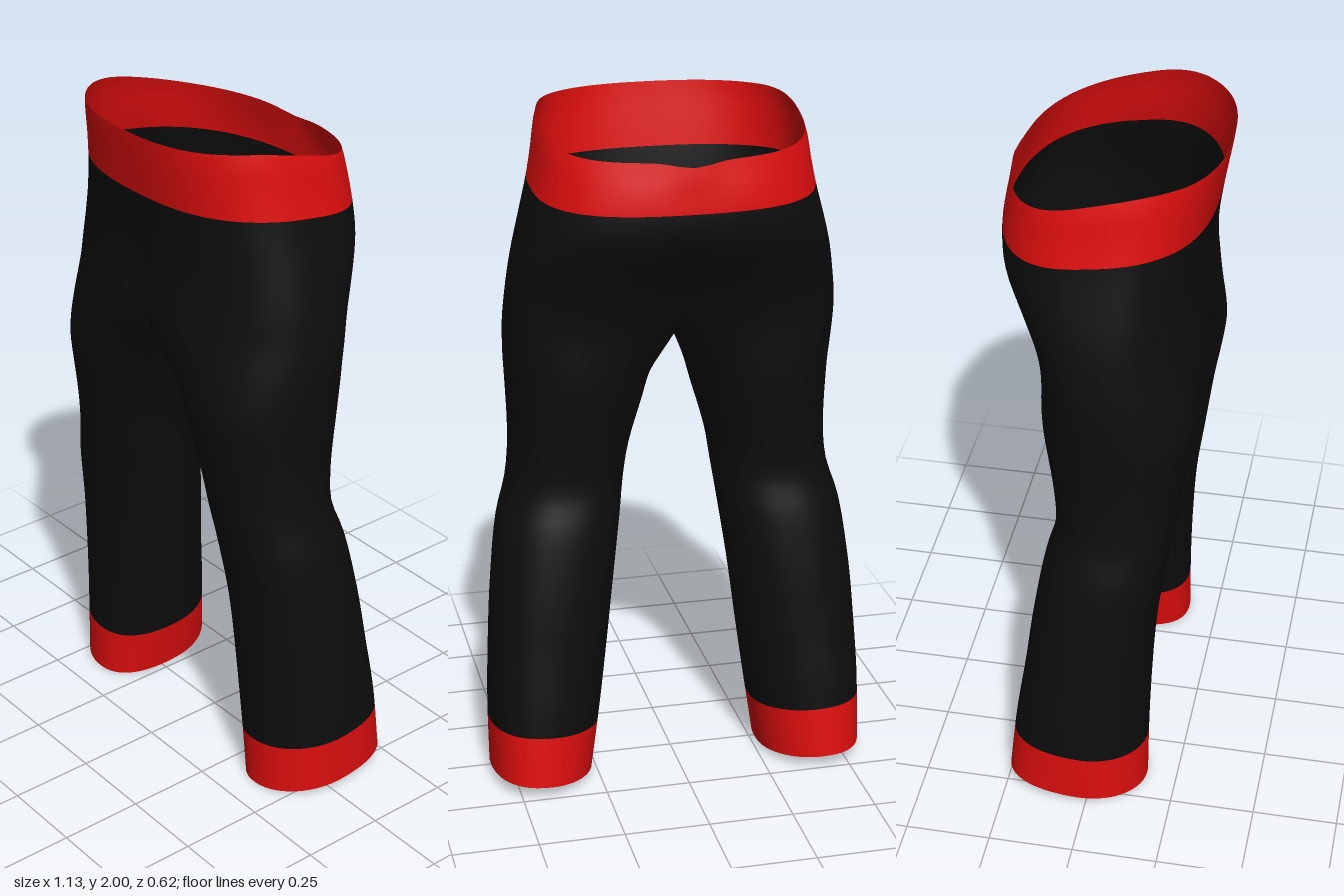
import * as THREE from 'three';
import { mergeVertices } from 'three/addons/utils/BufferGeometryUtils.js';

const { lerp, clamp, smoothstep } = THREE.MathUtils;

// Smooth lookup through rows of [height, ...values], lowest first
function profile(rows) {
  const f = new THREE.CubicInterpolant(rows.map(r => r[0]), rows.flatMap(r => r.slice(1)), rows[0].length - 1);
  return h => f.evaluate(clamp(h, rows[0][0], rows[rows.length - 1][0]));
}

// Hips: height, half width, front z, back z
const hips = profile([
  [1.1, 0.475, 0.25, -0.16], [1.2, 0.475, 0.265, -0.165], [1.4, 0.482, 0.278, -0.185],
  [1.5, 0.472, 0.27, -0.215], [1.6, 0.455, 0.262, -0.262], [1.7, 0.432, 0.265, -0.298],
  [1.815, 0.405, 0.28, -0.305], [1.9, 0.39, 0.294, -0.296], [1.97, 0.38, 0.306, -0.283], [2.0, 0.372, 0.31, -0.278],
]);
// Leg: height, inner x, outer x, front z, back z
const leg = profile([
  [0, 0.262, 0.566, 0.16, -0.25], [0.2, 0.232, 0.566, 0.16, -0.23], [0.4, 0.205, 0.557, 0.165, -0.203],
  [0.6, 0.18, 0.542, 0.177, -0.18], [0.8, 0.152, 0.514, 0.204, -0.148], [0.9, 0.138, 0.484, 0.218, -0.122],
  [1.0, 0.122, 0.472, 0.232, -0.128], [1.2, 0.066, 0.475, 0.265, -0.16], [1.3, 0.045, 0.481, 0.275, -0.172],
  [1.4, 0.03, 0.482, 0.28, -0.185], [1.5, 0.02, 0.472, 0.27, -0.215],
]);

const TOP = 2, BAND = 1.815, FORK = 1.48, THIGH = 1.2, CUFF = 0.155;
const OUTER = 44, INNER = 18, SPREAD = 0.87;

const power = (v, p) => Math.sign(v) * Math.abs(v) ** p;

// Half of the hip outline; u runs from centre front round the side to centre back
function hipPoint(h, u) {
  const [rx, zf, zb] = hips(h), a = u * Math.PI, c = Math.cos(a);
  const x = rx * Math.abs(Math.sin(a)) ** 0.82;
  let z = c > 0 ? zf * c ** 0.82 : zb * (-c) ** 0.74;
  const centre = Math.exp(-((x / 0.07) ** 2));
  const low = 1 - smoothstep(h, 1.45, 1.75);
  z += (c > 0 ? -0.025 * low : 0.03 * low) * centre;
  const rim = clamp((h - 1.6) / 0.4, 0, 1);
  if (c < 0) z -= 0.014 * centre * smoothstep(h, 1.85, 2);
  const y = h - rim * 0.095 * smoothstep(-z, -0.2, 0.3) - (c < 0 ? 0.015 * centre * smoothstep(h, 1.85, 2) : 0);
  return [x, y, z];
}

// Leg outline at an angle: 0 front, PI/2 outer side, PI back
function legPoint(h, a) {
  const [xi, xo, zf, zb] = leg(h);
  const dz = power(Math.cos(a), 0.92) * (zf - zb) / 2;
  const low = 1 - smoothstep(h, 0.2, 0.9);
  const x = (xi + xo) / 2 + power(Math.sin(a), 0.92) * (xo - xi) / 2 - 0.1 * low * dz * Math.abs(Math.cos(a));
  const z = (zf + zb) / 2 + dz;
  return [x, h + low * (0.06 * (x - 0.25) + 0.08 * (0.16 - z) - 0.008), z];
}

// Sections of rows from waist to hem
const rows = [];
function section(from, to, count, part) {
  for (let i = 0; i < count; i++) rows.push({ h: lerp(from, to, i / count), part });
}
section(TOP, BAND, 6, 'waistband');
section(BAND, FORK, 12, 'trousers');
section(FORK, THIGH, 12, 'trousers');
section(THIGH, CUFF, 28, 'trousers');
section(CUFF, 0, 4, 'Cuff');
rows.push({ h: 0 });
const forkRow = 18;

function blend(start, h, t, angle, w) {
  const y = lerp(start[1], THIGH, t);
  const l = legPoint(y, angle);
  return [lerp(start[0], l[0], w), y, lerp(start[2], l[2], w)];
}

// Outer wall of hip and leg
function outerPoint(h, u) {
  const angle = -SPREAD + u * (Math.PI + 2 * SPREAD);
  if (h >= FORK) return hipPoint(h, u);
  if (h <= THIGH) return legPoint(h, angle);
  const t = (FORK - h) / (FORK - THIGH), p = hipPoint(h, u);
  return blend([p[0], FORK, p[2]], h, t, angle, smoothstep(t, 0, 1));
}

// Inner leg wall, hanging from the curved crotch seam, back to front
function innerPoint(h, v) {
  const angle = Math.PI + SPREAD + v * (Math.PI - 2 * SPREAD);
  if (h <= THIGH) return legPoint(h, angle);
  const t = (FORK - h) / (FORK - THIGH);
  const arch = Math.sin(v * Math.PI);
  const front = hipPoint(Math.min(h, FORK), 0)[2], back = hipPoint(Math.min(h, FORK), 1)[2];
  const seam = [0, FORK - 0.08 * Math.max(arch, 0) ** 0.7, lerp(back, front, (1 - Math.cos(v * Math.PI)) / 2)];
  return blend(seam, h, t, angle, lerp(smoothstep(t, 0, 1), Math.sin(t * Math.PI / 2), arch));
}

export function createModel() {
  const red = new THREE.MeshStandardMaterial({ color: 0xdd0e0e, side: THREE.DoubleSide });
  red.name = 'red trim';
  const black = new THREE.MeshStandardMaterial({ color: 0x0d0d0d, side: THREE.DoubleSide });
  black.name = 'black cloth';

  const positions = [];
  const parts = { waistband: [], trousers: [], leftCuff: [], rightCuff: [] };

  // Grid of points, its quads sorted into the named parts
  function addGrid(side, firstRow, columns, point) {
    const base = positions.length / 3, stride = columns + 1;
    for (let r = firstRow; r < rows.length; r++) {
      for (let c = 0; c <= columns; c++) {
        const [x, y, z] = point(rows[r].h, c / columns);
        positions.push(side * x, y, z);
      }
    }
    for (let r = firstRow; r < rows.length - 1; r++) {
      const name = rows[r].part === 'Cuff' ? (side > 0 ? 'leftCuff' : 'rightCuff') : rows[r].part;
      for (let c = 0; c < columns; c++) {
        const a = base + (r - firstRow) * stride + c, b = a + 1, d = a + stride, e = d + 1;
        parts[name].push(...(side > 0 ? [a, d, b, b, d, e] : [a, b, d, b, e, d]));
      }
    }
  }
  for (const side of [1, -1]) {
    addGrid(side, 0, OUTER, outerPoint);
    addGrid(side, forkRow, INNER, innerPoint);
  }

  // Weld the whole garment so normals run smoothly across every seam
  let cloth = new THREE.BufferGeometry();
  cloth.setAttribute('position', new THREE.Float32BufferAttribute(positions, 3));
  cloth.setIndex(Object.values(parts).flat());
  cloth = mergeVertices(cloth, 1e-4);
  cloth.computeVertexNormals();

  // One mesh per part, sharing the welded points
  const group = new THREE.Group();
  group.name = 'trousersWithTrim';
  const index = Array.from(cloth.index.array);
  let start = 0;
  for (const [name, list] of Object.entries(parts)) {
    const geometry = new THREE.BufferGeometry();
    geometry.setAttribute('position', cloth.attributes.position);
    geometry.setAttribute('normal', cloth.attributes.normal);
    geometry.setIndex(index.slice(start, start + list.length));
    start += list.length;
    const mesh = new THREE.Mesh(geometry, name === 'trousers' ? black : red);
    mesh.name = name;
    group.add(mesh);
  }
  return group;
}
